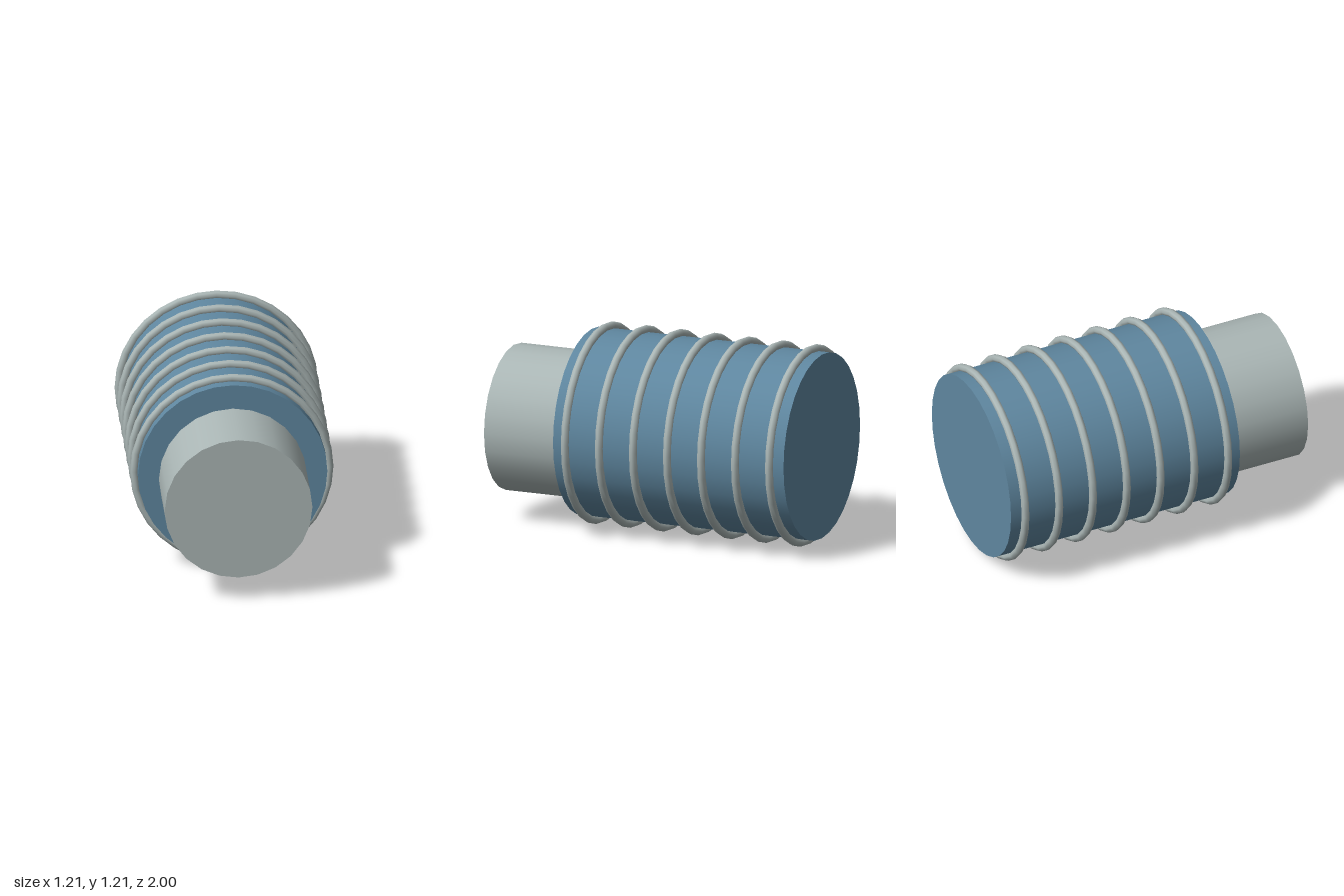
import * as THREE from 'three';

export function createModel() {
  const model = new THREE.Group();
  const blue = new THREE.MeshStandardMaterial({ name: 'steelBlue', color: 0x5f87a0 });
  const grey = new THREE.MeshStandardMaterial({ name: 'paleGrey', color: 0xabb7b6 });
  const axisY = 0.606;

  const add = (name, geometry, material, y, z) => {
    const mesh = new THREE.Mesh(geometry, material);
    mesh.name = name;
    mesh.position.set(0, y, z);
    model.add(mesh);
  };

  // Cylinder lying along z between two depths
  const drum = (name, radius, back, front, sides, y, material) => {
    const geometry = new THREE.CylinderGeometry(radius, radius, front - back, sides);
    geometry.rotateX(Math.PI / 2);
    add(name, geometry, material, y, (front + back) / 2);
  };

  // Main barrel and the slightly lower front spigot
  drum('barrel', 0.564, -1, 0.497, 32, axisY + 0.002, blue);
  drum('spigot', 0.44, 0.45, 1, 24, 0.583, grey);

  // Seven evenly spaced ribs around the barrel
  const rib = new THREE.TorusGeometry(0.581, 0.025, 8, 32);
  for (let i = 0; i < 7; i++) {
    add(`rib${i + 1}`, rib, grey, axisY, 0.413 - i * 0.221);
  }
  return model;
}
